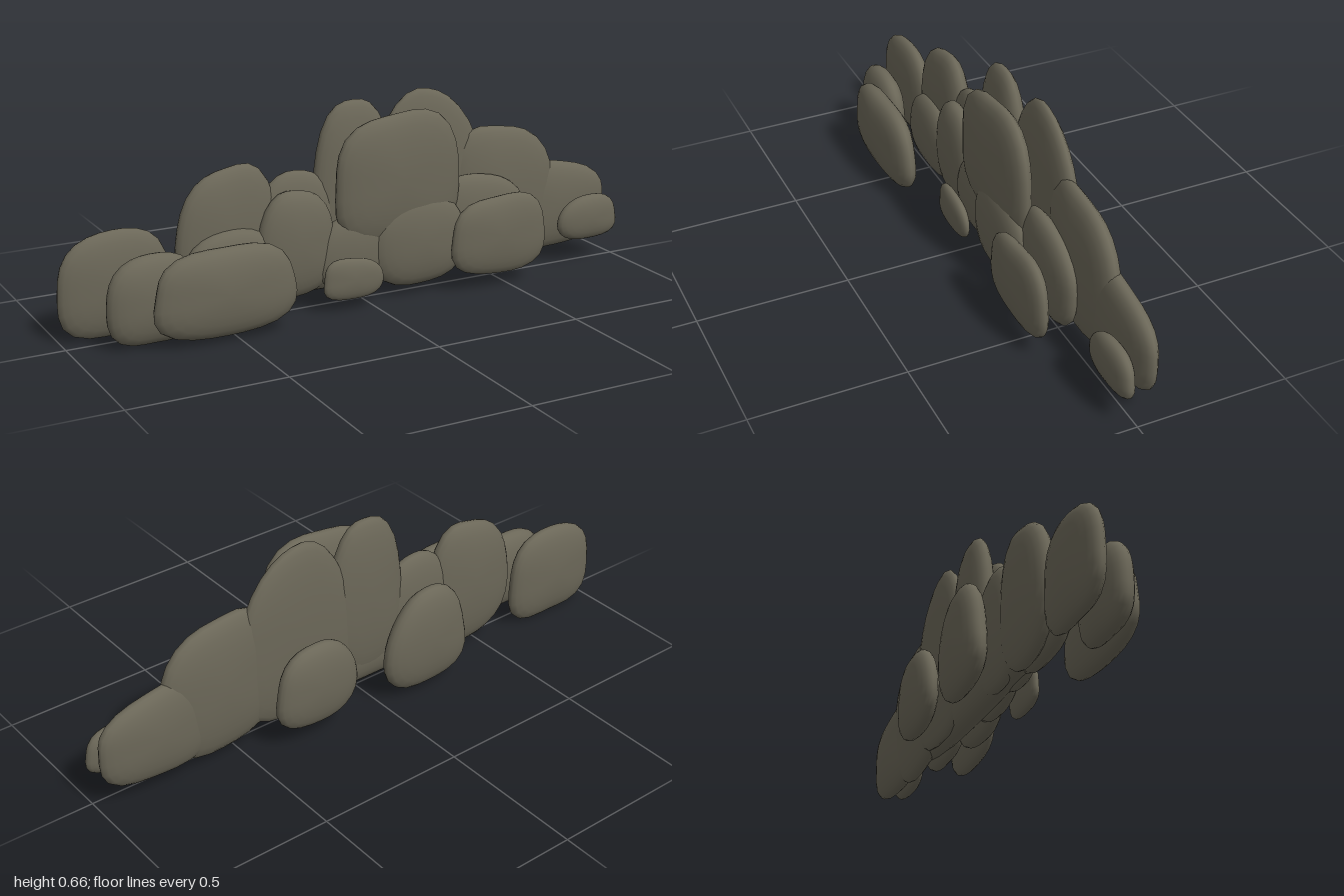
import * as THREE from 'three';
import { mergeVertices } from 'three/addons/utils/BufferGeometryUtils.js';

// Outline styles: squareness, narrowing towards the top, sideways slope of the top
const STYLES = {
  block: { square: 3.1, taper: 0.07, slope: 0.05 },
  round: { square: 2.5, taper: 0.13, slope: 0 },
  rising: { square: 2.6, taper: 0.11, slope: 0.1 },
  peak: { square: 2.5, taper: 0.22, slope: -0.1 },
  sloping: { square: 2.9, taper: 0.05, slope: -0.18 },
};

// Each stone: [name, style, left, right, bottom, top, z centre, half depth]
const FRONT_ROW = [
  ['frontLeftBoulder', 'block', -0.77, -0.31, 0.02, 0.3, 0.147, 0.052],
  ['outerLeftBoulder', 'block', -0.89, -0.6, 0.005, 0.285, 0.07, 0.051],
  ['frontRightBoulder', 'block', 0.28, 0.635, 0.05, 0.315, 0.113, 0.039],
  ['frontCentreBoulder', 'round', 0.02, 0.36, 0.035, 0.345, 0.042, 0.05],
  ['frontPebble', 'sloping', -0.18, 0.03, 0.04, 0.175, 0.092, 0.024],
  ['rightPebble', 'rising', 0.76, 0.995, 0.08, 0.235, 0.022, 0.033],
];
const MIDDLE_ROW = [
  ['centreTallBoulder', 'block', -0.105, 0.345, 0.18, 0.615, 0.032, 0.049],
  ['middleLeftBoulder', 'round', -0.37, -0.1, 0.05, 0.4, 0.005, 0.05],
  ['lowLeftBoulder', 'round', -0.62, -0.28, 0.04, 0.3, 0, 0.05],
  ['lowCentreBoulder', 'round', -0.17, 0.13, 0.045, 0.3, 0.02, 0.045],
  ['middleRightBoulder', 'sloping', 0.28, 0.62, 0.045, 0.365, 0.01, 0.045],
  ['lowCoreBoulder', 'block', -0.58, 0.6, 0.05, 0.25, -0.025, 0.055],
];
const BACK_ROW = [
  ['farLeftBoulder', 'block', -1, -0.64, 0, 0.335, -0.057, 0.045],
  ['leftTallBoulder', 'rising', -0.62, -0.27, 0.035, 0.49, -0.045, 0.05],
  ['leftSaddleBoulder', 'round', -0.36, -0.06, 0.045, 0.45, -0.045, 0.045],
  ['backTallBoulder', 'round', -0.15, 0.15, 0.08, 0.655, -0.05, 0.046],
  ['peakBoulder', 'peak', 0.06, 0.5, 0.05, 0.655, -0.06, 0.042],
  ['rightSlopeBoulder', 'sloping', 0.36, 0.77, 0.04, 0.505, -0.047, 0.05],
  ['rightEndBoulder', 'sloping', 0.58, 0.99, 0.05, 0.355, -0.052, 0.044],
];
const REAR_ROW = [
  ['rearLeftBoulder', 'peak', -0.335, -0.015, 0.025, 0.38, -0.15, 0.05],
  ['rearRightBoulder', 'round', 0.115, 0.415, 0.06, 0.35, -0.147, 0.045],
];

// Squarish, slightly lumpy lens whose thin side faces front and back
function boulderGeometry(halfWidth, halfHeight, halfDepth, style, seed) {
  const sphere = new THREE.SphereGeometry(1, 28, 14).rotateX(Math.PI / 2);
  sphere.deleteAttribute('uv');
  sphere.deleteAttribute('normal');
  const geometry = mergeVertices(sphere);
  const p = geometry.attributes.position;
  for (let i = 0; i < p.count; i++) {
    const x = p.getX(i), y = p.getY(i), z = p.getZ(i);
    const a = Math.atan2(y, x);
    const n = style.square;
    const outline = (Math.abs(Math.cos(a)) ** n + Math.abs(Math.sin(a)) ** n) ** (-1 / n);
    const lump = 1 + 0.012 * Math.sin(3 * a + seed * 1.7) + 0.01 * Math.sin(5 * a + seed * 2.9);
    // Fuller than an ellipse from the side
    const fullness = (Math.hypot(x, y) ** 2.25 + Math.abs(z) ** 2.25) ** (-1 / 2.25);
    const u = x * outline * lump * fullness, v = y * outline * lump * fullness;
    p.setXYZ(
      i,
      halfWidth * u * (1 - style.taper * v),
      halfHeight * (v + style.slope * u * Math.max(v, 0)),
      halfDepth * z * fullness,
    );
  }
  geometry.computeVertexNormals();
  return geometry;
}

export function createModel() {
  const group = new THREE.Group();
  group.name = 'boulderPile';
  const stone = new THREE.MeshStandardMaterial({ color: 0x6b6758 });
  stone.name = 'stone';

  [...FRONT_ROW, ...MIDDLE_ROW, ...BACK_ROW, ...REAR_ROW].forEach((boulder, i) => {
    const [name, style, left, right, bottom, top, z, halfDepth] = boulder;
    const geometry = boulderGeometry((right - left) / 2, (top - bottom) / 2, halfDepth, STYLES[style], i + 1);
    const mesh = new THREE.Mesh(geometry, stone);
    mesh.name = name;
    mesh.position.set((left + right) / 2, (bottom + top) / 2, z);
    group.add(mesh);
  });
  return group;
}
